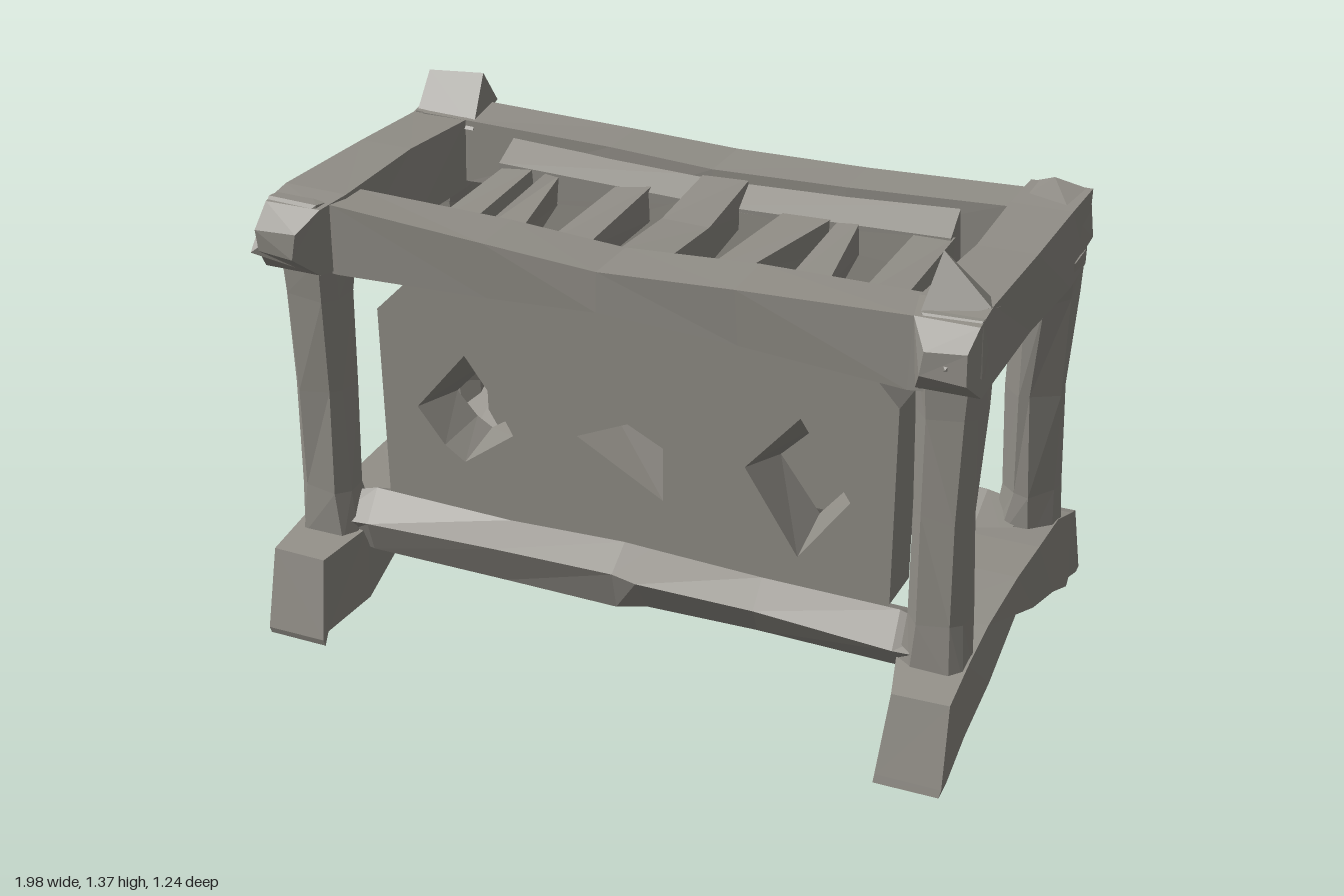
import * as THREE from 'three';
import { ConvexGeometry } from 'three/addons/geometries/ConvexGeometry.js';

const stone = new THREE.MeshStandardMaterial({ color: 0x918e87, flatShading: true });
stone.name = 'weathered grey';

// Small repeatable unevenness for a hand-hewn look
const rough = (p) => p.map((v, i) => v + 0.005 * Math.sin(p[0] * 37 + p[1] * 53 + p[2] * 71 + i * 2.1));

// Four-cornered ring across an axis: span a and span b are the other two axes in order
function ring(axis, [t, a0, a1, b0, b1], mx, mz) {
  return [[a0, b0], [a1, b0], [a1, b1], [a0, b1]].map(([a, b]) => {
    const p = axis === 'x' ? [t, a, b] : [a, b, t];
    return rough([p[0] * mx, p[1], p[2] * mz]);
  });
}

// Solid from rings; faces are turned outward by the sign of the enclosed volume
function loft(rings) {
  const tris = [];
  const n = rings[0].length;
  for (let i = 0; i < rings.length - 1; i++) {
    for (let j = 0; j < n; j++) {
      const k = (j + 1) % n;
      const [a, b, c, d] = [rings[i][j], rings[i][k], rings[i + 1][k], rings[i + 1][j]];
      tris.push([a, b, c], [a, c, d]);
    }
  }
  const [s, e] = [rings[0], rings[rings.length - 1]];
  for (let j = 1; j < n - 1; j++) tris.push([s[0], s[j + 1], s[j]], [e[0], e[j], e[j + 1]]);
  let volume = 0;
  const v = (p) => new THREE.Vector3(...p);
  for (const [a, b, c] of tris) volume += v(a).dot(v(b).cross(v(c)));
  if (volume < 0) tris.forEach((t) => t.reverse());
  const geo = new THREE.BufferGeometry();
  geo.setAttribute('position', new THREE.Float32BufferAttribute(tris.flat(2), 3));
  geo.computeVertexNormals();
  return geo;
}

// Panel with three holes that narrow toward the inside
function panelGeometry(side) {
  const outline = [[-0.66, 0.28], [0.68, 0.28], [0.745, 0.38], [0.75, 0.94], [0.65, 1.05], [0.65, 1.13], [0, 1.14],
    [-0.64, 1.13], [-0.62, 1.05], [-0.73, 0.94], [-0.72, 0.38]];
  const holes = [
    { c: [-0.46, 0.64], p: [[-0.47, 0.85], [-0.38, 0.73], [-0.33, 0.64], [-0.48, 0.53], [-0.54, 0.57], [-0.62, 0.67]] },
    { c: [0.04, 0.67], p: [[-0.14, 0.68], [0.11, 0.79], [0.11, 0.54]] },
    side > 0
      ? { c: [0.5, 0.62], p: [[0.49, 0.86], [0.63, 0.65], [0.49, 0.46], [0.34, 0.69]] }
      : { c: [0.49, 0.64], p: [[0.6, 0.74], [0.5, 0.46], [0.4, 0.53], [0.34, 0.74]] },
  ];
  const vec = (a) => a.map((q) => new THREE.Vector2(...q));
  const shape = new THREE.Shape(vec(outline));
  holes.forEach((h) => shape.holes.push(new THREE.Path(vec(h.p))));
  const depth = side > 0 ? 0.15 : 0.125;
  const geo = new THREE.ExtrudeGeometry(shape, { depth, bevelEnabled: false });
  const pos = geo.attributes.position;
  for (let i = 0; i < pos.count; i++) {
    const x = pos.getX(i), y = pos.getY(i), z = pos.getZ(i);
    const inner = side > 0 ? z < depth / 2 : z > depth / 2;
    const hole = holes.find((h) => h.p.some((q) => Math.hypot(q[0] - x, q[1] - y) < 1e-4));
    if (inner && hole) {
      pos.setX(i, hole.c[0] + (x - hole.c[0]) * 0.75);
      pos.setY(i, hole.c[1] + (y - hole.c[1]) * 0.66);
    }
  }
  geo.translate(0, 0, side > 0 ? 0.212 : -0.212 - depth);
  geo.computeVertexNormals();
  return geo;
}

export function createModel() {
  const model = new THREE.Group();
  model.name = 'railedCradle';
  const add = (name, geo) => {
    const mesh = new THREE.Mesh(geo, stone);
    mesh.name = name;
    model.add(mesh);
  };
  const beam = (name, axis, sections, mx = 1, mz = 1) =>
    add(name, loft(sections.map((s) => ring(axis, s, mx, mz))));
  // Beam along x from free [y, z] outlines
  const profileBeam = (name, sections, mz) =>
    add(name, loft(sections.map(([x, pts]) => pts.map(([y, z]) => rough([x, y, z * mz])))));
  // Upright post with chamfered corners, c toward the middle and d on the outer face
  const post = (name, sections, mx, mz) => add(name, loft(sections.map(([y, x0, x1, z0, z1, c, d]) => [
    [x0 + c, z0], [x1 - d, z0], [x1, z0 + d], [x1, z1 - 0.03], [x1 - 0.03, z1], [x0 + 0.03, z1], [x0, z1 - 0.03], [x0, z0 + c],
  ].map(([x, z]) => rough([x * mx, y, z * mz])))));

  for (const z of [1, -1]) {
    const end = z > 0 ? 'front' : 'back';

    // Long top rail, dipping in the middle
    beam(end + 'TopRail', 'x', [
      [-0.94, 1.07, 1.25, 0.3, 0.44], [-0.8, 1.055, 1.25, 0.3, 0.44], [-0.35, 1.075, 1.235, 0.285, 0.455],
      [-0.03, 1.105, 1.215, 0.29, 0.465], [0.35, 1.08, 1.23, 0.285, 0.455],
      [0.8, 1.045, 1.24, 0.3, 0.45], [0.95, 1.06, 1.24, 0.3, 0.45]], 1, z);
    // Sloping inner ledge of the top rail
    const ledge = (low, top) => [[low, 0.212], [top - 0.05, 0.212], [top, 0.31], [low, 0.34]];
    profileBeam(end + 'InnerLedge', [[-0.65, ledge(1.06, 1.22)], [0, ledge(1.1, 1.2)], [0.68, ledge(1.06, 1.22)]], z);

    // Long bottom rail whose top slopes up to the panel
    const sill = (low, mid, top, out) =>
      [[low + 0.01, 0.25], [low, out - 0.05], [mid, out], [top, 0.365], [top - 0.07, 0.225]];
    profileBeam(end + 'BottomRail', [
      [-0.88, sill(0.22, 0.3, 0.35, 0.43)], [-0.76, sill(0.21, 0.31, 0.385, 0.44)],
      [-0.35, sill(0.215, 0.33, 0.385, 0.45)], [0, sill(0.225, 0.345, 0.4, 0.465)],
      [0.08, sill(0.24, 0.34, 0.385, 0.465)], [0.4, sill(0.235, 0.33, 0.38, 0.455)],
      [0.78, sill(0.225, 0.3, 0.37, 0.45)], [0.88, sill(0.235, 0.3, 0.34, 0.44)]], z);

    add(end + 'Panel', panelGeometry(z));

    // Corner posts
    for (const x of [1, -1]) {
      post(end + (x > 0 ? 'Left' : 'Right') + 'Post', [
        [0.25, 0.8, 0.975, 0.29, 0.455, 0.04, 0.06], [0.4, 0.815, 0.965, 0.3, 0.45, 0.05, 0.06],
        [0.7, 0.815, 0.965, 0.3, 0.45, 0.055, 0.065], [0.98, 0.815, 0.975, 0.295, 0.455, 0.05, 0.06],
        [1.1, 0.81, 0.98, 0.285, 0.46, 0.04, 0.05]], x, z);
    }
  }

  for (const x of [1, -1]) {
    const side = x > 0 ? 'left' : 'right';

    // Short top rail with tapered ends
    beam(side + 'TopRail', 'z', [
      [-0.54, 0.85, 0.95, 1.11, 1.2], [-0.46, 0.81, 0.98, 1.055, 1.265], [-0.3, 0.81, 0.98, 1.04, 1.25],
      [0, 0.81, 0.97, 1.045, 1.255], [0.38, 0.8, 0.985, 1.06, 1.265],
      [0.48, 0.82, 0.985, 1.07, 1.25], [0.545, 0.86, 0.97, 1.13, 1.2]], x);

    // Arched foot, splayed at both ends
    beam(side + 'Foot', 'z', [
      [-0.615, 0.81, 0.985, 0.008, 0.03], [-0.57, 0.82, 0.975, 0.025, 0.245], [-0.5, 0.8, 0.985, 0.035, 0.275],
      [-0.4, 0.785, 0.98, 0.06, 0.295], [-0.2, 0.785, 0.975, 0.125, 0.305], [-0.02, 0.79, 0.97, 0.19, 0.305],
      [0.22, 0.785, 0.975, 0.125, 0.295], [0.4, 0.785, 0.98, 0.06, 0.28],
      [0.56, 0.82, 0.975, 0.02, 0.25], [0.615, 0.81, 0.985, 0.008, 0.03]], x);
  }

  // Rough corner knobs; two diagonal ones rise into spikes
  const knob = (x, z, tip) => {
    const pts = [[0.81, 1.06, 0.3], [0.8, 1.24, 0.3], [0.97, 1.06, 0.3], [0.97, 1.25, 0.3],
      [0.99, 1.12, 0.48], [0.98, 1.26, 0.46], [0.83, 1.06, 0.47], [0.83, 1.26, 0.47], tip];
    return new ConvexGeometry(pts.map((p) => new THREE.Vector3(p[0] * x, p[1], p[2] * z)));
  };
  add('frontLeftKnob', knob(1, 1, [0.92, 1.16, 0.55]));
  add('frontRightKnob', knob(-1, 1, [0.99, 1.13, 0.55]));
  add('backLeftKnob', knob(1, -1, [0.88, 1.28, 0.46]));
  add('backRightKnob', knob(-1, -1, [0.9, 1.2, 0.54]));
  const spike = (name, pts) => add(name, new ConvexGeometry(pts.map((p) => new THREE.Vector3(...p))));
  spike('frontLeftSpike', [[0.84, 1.375, 0.35], [0.81, 1.22, 0.32], [0.98, 1.24, 0.32], [0.98, 1.27, 0.4], [0.82, 1.23, 0.48]]);
  spike('backRightSpike', [[-0.97, 1.345, -0.39], [-0.8, 1.355, -0.4], [-0.97, 1.22, -0.29],
    [-0.78, 1.22, -0.29], [-0.97, 1.25, -0.48], [-0.8, 1.25, -0.48]]);

  // Cross slats between the top rails: centre x and half width at the back, then at the front
  const slats = [[-0.6, 0.05, -0.59, 0.05], [-0.495, 0.02, -0.44, 0.06], [-0.245, 0.05, -0.245, 0.055],
    [0.27, 0.07, 0.2, 0.05], [0.39, 0.035, 0.43, 0.055], [0.63, 0.05, 0.63, 0.05]];
  for (const [xb, wb, xf, wf] of slats) {
    beam('topSlat', 'z', [[-0.23, xb - wb, xb + wb, 1.07, 1.16], [0.23, xf - wf, xf + wf, 1.07, 1.15]]);
  }
  beam('centreTopSlat', 'z', [[-0.31, -0.07, 0.07, 1.1, 1.2], [0, -0.05, 0.08, 1.07, 1.18], [0.27, -0.05, 0.08, 1.1, 1.19]]);

  // Cross beam between the bottom rails
  beam('centreBottomBeam', 'z', [[-0.3, -0.07, 0.08, 0.245, 0.31], [0, -0.07, 0.08, 0.23, 0.3], [0.3, -0.07, 0.08, 0.245, 0.31]]);

  return model;
}
